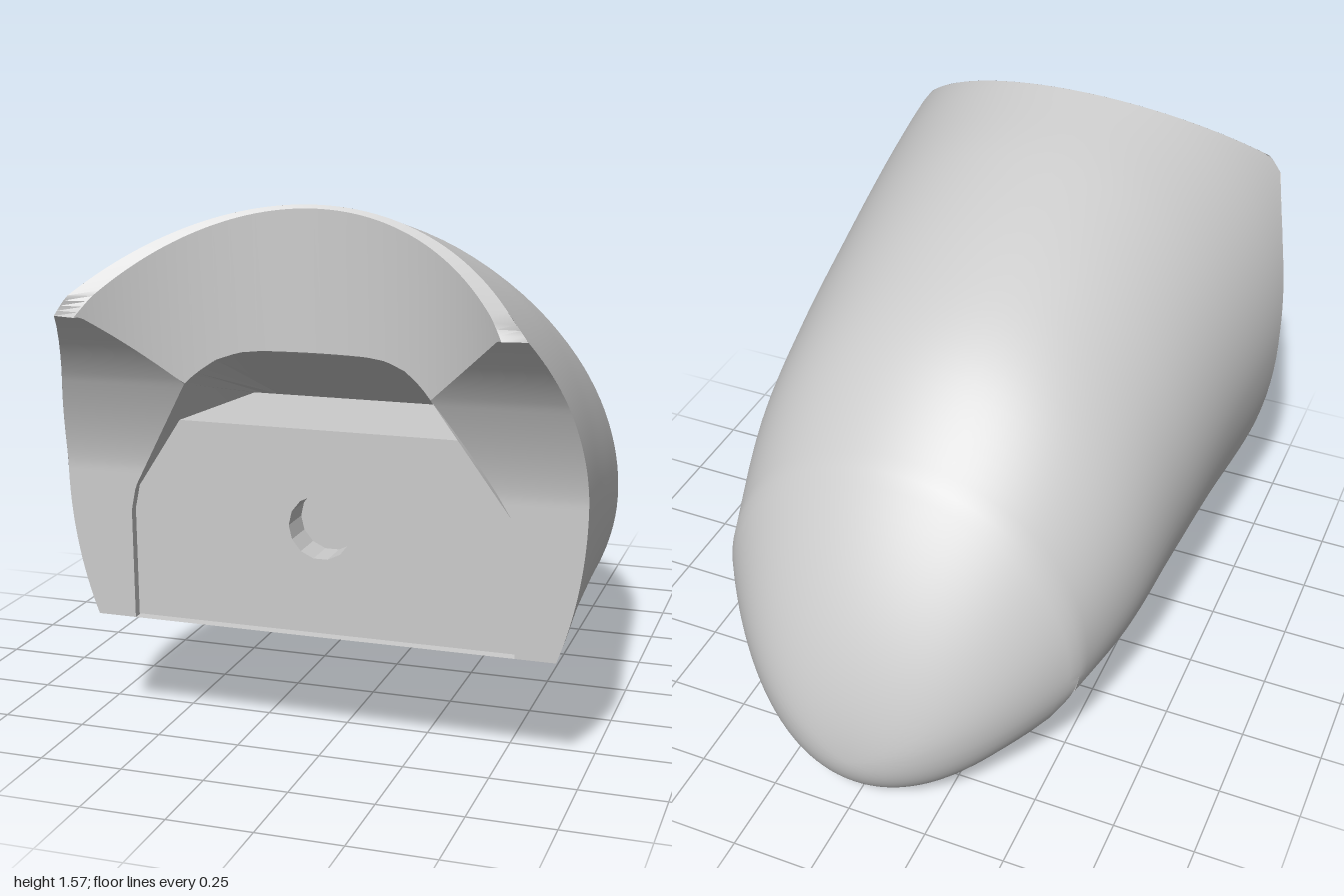
import * as THREE from 'three';
import { toCreasedNormals } from 'three/addons/utils/BufferGeometryUtils.js';

const FLOOR = 0.355, STEP = -0.61;
const material = new THREE.MeshStandardMaterial({ color: 0xcccccc, side: THREE.DoubleSide });

// Straight-line lookup in rows of [key, value], keys ascending
function lookup(rows, k) {
  let i = 0;
  while (i < rows.length - 2 && k > rows[i + 1][0]) i++;
  const [a, b] = [rows[i], rows[i + 1]];
  const t = THREE.MathUtils.clamp((k - a[0]) / (b[0] - a[0]), 0, 1);
  return a[1] + (b[1] - a[1]) * t;
}

// Smooth lookup of column c
function smooth(rows, k, c) {
  let i = 0;
  while (i < rows.length - 2 && k > rows[i + 1][0]) i++;
  const slope = (n) => {
    const p = rows[Math.max(n - 1, 0)], q = rows[Math.min(n + 1, rows.length - 1)];
    return (q[c] - p[c]) / (q[0] - p[0]);
  };
  const h = rows[i + 1][0] - rows[i][0], t = (k - rows[i][0]) / h;
  const t2 = t * t, t3 = t2 * t;
  return (2 * t3 - 3 * t2 + 1) * rows[i][c] + (t3 - 2 * t2 + t) * h * slope(i)
    + (3 * t2 - 2 * t3) * rows[i + 1][c] + (t3 - t2) * h * slope(i + 1);
}

// Grid surface from fn(i, j) -> [x, y, z]
function surface(name, ni, nj, fn) {
  const pos = [], index = [];
  for (let i = 0; i <= ni; i++) for (let j = 0; j <= nj; j++) pos.push(...fn(i, j));
  for (let i = 0; i < ni; i++) for (let j = 0; j < nj; j++) {
    const a = i * (nj + 1) + j, b = a + nj + 1;
    index.push(a, b, a + 1, b, b + 1, a + 1);
  }
  const geo = new THREE.BufferGeometry();
  geo.setAttribute('position', new THREE.Float32BufferAttribute(pos, 3));
  geo.setIndex(index);
  const mesh = new THREE.Mesh(toCreasedNormals(geo, 0.6), material);
  mesh.name = name;
  return mesh;
}

// Hood sections: z, top, half width, height of widest point, lower radius
const SECTIONS = [
  [-0.61, 0.99, 0.575, 0.45, 0.45], [-0.3, 1.22, 0.655, 0.56, 0.6], [0, 1.36, 0.69, 0.65, 0.72],
  [0.4, 1.492, 0.725, 0.74, 0.88], [0.74, 1.57, 0.76, 0.8, 1], [1, 1.63, 0.78, 0.84, 1.03],
];
function bodySection(z) {
  const [top, w, mid, low] = [1, 2, 3, 4].map((c) => smooth(SECTIONS, z, c));
  return { w, mid, up: top - mid, low, start: Math.asin((FLOOR - mid) / low) };
}
function tailSection(r) {
  const k = Math.pow(1 - r, 0.55);
  const mid = 0.2 + 0.25 * k;
  const bottom = 0.2 - 0.2 * Math.sqrt(1 - Math.max(0, (r - 0.5) / 0.5) ** 2)
    + 0.04 * Math.max(0, 1 - r / 0.1) ** 2;
  return { w: 0.575 * Math.pow(1 - r, 0.44), mid, up: 0.54 * k, low: mid - bottom, start: -0.213 };
}
const UPPER = 72, LOWER = 32;
function sectionPoint(s, j) {
  const a = j <= UPPER
    ? s.start + (Math.PI - 2 * s.start) * j / UPPER
    : Math.PI - s.start + (Math.PI + 2 * s.start) * (j - UPPER) / LOWER;
  const n = Math.sin(a);
  return [s.w * Math.cos(a), s.mid + n * (n > 0 ? s.up : s.low)];
}
function outerX(y, z) {
  const s = bodySection(z), d = (y - s.mid) / (y > s.mid ? s.up : s.low);
  return s.w * Math.sqrt(Math.max(0, 1 - d * d));
}

// Upright round scoop and the front edge of the hood at each height
const scoopZ = (x) => 1.52 - Math.sqrt(0.775 ** 2 - x * x);
function frontZ(y) {
  if (y <= 0.8) return 0.74;
  if (y <= 1.08) return 0.74 + 0.0885 * ((y - 0.8) / 0.28) ** 1.5;
  if (y <= 1.28) return scoopZ(0.35 + (y - 1.08) * 1.1);
  return Math.min(0.995, 0.74 + Math.max(0, 1.57 - y) * 1.08);
}

// Right half of the slot outline, bottom to top
const SLOT = [[0.565, FLOOR], [0.565, 0.68], [0.55, 0.75], [0.35, 1.08],
  [0.32, 1.11], [0.27, 1.145], [0.21, 1.165], [0.15, 1.17]];
const INNER = [...SLOT.slice(0, 4).map(([x, y]) => [y, x]), [1.28, 0.57]];
const SCOOP_FOOT = [[0, 1.17], ...SLOT.slice(3).reverse(), [0.57, 1.28]];

function makeHood() {
  const body = 36, tail = 26;
  return surface('hood', body + tail + 1, UPPER + LOWER, (i, j) => {
    if (i > body) {
      const r = 1 - (1 - (i - body - 1) / tail) ** 2;
      return [...sectionPoint(tailSection(r), j), STEP - 0.39 * r];
    }
    let front = 0.74;
    if (j < UPPER) for (let n = 0; n < 12; n++) front = frontZ(sectionPoint(bodySection(front), j)[1]);
    const z = front + (STEP - front) * i / body;
    const s = bodySection(z);
    if (j <= UPPER) return [...sectionPoint(s, j), z];
    const x = sectionPoint(s, 0)[0];
    return [x * (2 * (j - UPPER) / LOWER - 1), FLOOR, z];
  });
}

// Curved front faces beside the slot
function makeCheek(name, side) {
  return surface(name, 60, 1, (i, j) => {
    const y = FLOOR + (1.28 - FLOOR) * i / 60, z = frontZ(y);
    const outer = (side > 0) === (j === 0);
    return [side * (outer ? outerX(y, z) : lookup(INNER, y)), y, z];
  });
}

// Outer and inner edge of the scoop opening
function rimPoint(i, n, inner) {
  const t = Math.PI * i / n, h = Math.sin(t);
  const y = 1.28 + 0.29 * h, z = frontZ(y);
  const x = outerX(y, z) * (i > n / 2 ? -1 : 1);
  return inner ? [x * 0.9, y - 0.01 * h, scoopZ(x * 0.9)] : [x, y, z];
}

function makeSlot() {
  const outline = [...SLOT, ...SLOT.map(([x, y]) => [-x, y]).reverse()];
  return surface('slot', outline.length - 1, 1, (i, j) => {
    const [x, y] = outline[i];
    return j ? [x, Math.min(y, 0.95), 0.32] : [x, y, y <= 1.08 ? frontZ(y) : scoopZ(x)];
  });
}

// Plug with a blind round hole
function makePlug() {
  const group = new THREE.Group();
  group.name = 'plug';
  const half = [[0.562, 0.36], [0.562, 0.68], [0.547, 0.75], [0.422, 0.95]];
  const outline = [...half, ...half.map(([x, y]) => [-x, y]).reverse()];
  const shape = new THREE.Shape(outline.map(([x, y]) => new THREE.Vector2(x, y)));
  const hole = new THREE.Path();
  hole.absarc(0, 0.67, 0.093, 0, Math.PI * 2, true);
  shape.holes.push(hole);
  const block = new THREE.Mesh(
    new THREE.ExtrudeGeometry(shape, { depth: 0.4, bevelEnabled: false, curveSegments: 7 }), material);
  block.position.z = 0.32;
  block.name = 'plugBlock';
  const end = new THREE.Mesh(new THREE.CircleGeometry(0.095, 14), material);
  end.position.set(0, 0.67, 0.62);
  end.name = 'holeEnd';
  group.add(block, end);
  return group;
}

export function createModel() {
  const model = new THREE.Group();
  model.name = 'hoodedCap';
  const n = 64;
  model.add(
    makeHood(),
    makeCheek('leftCheek', 1),
    makeCheek('rightCheek', -1),
    surface('scoopRim', n, 1, (i, j) => rimPoint(i, n, j === 1)),
    surface('scoopWall', n, 1, (i, j) => {
      const [x, y, z] = rimPoint(i, n, true);
      return [x, j ? lookup(SCOOP_FOOT, Math.abs(x)) : y, z];
    }),
    makeSlot(),
    makePlug(),
  );
  return model;
}
